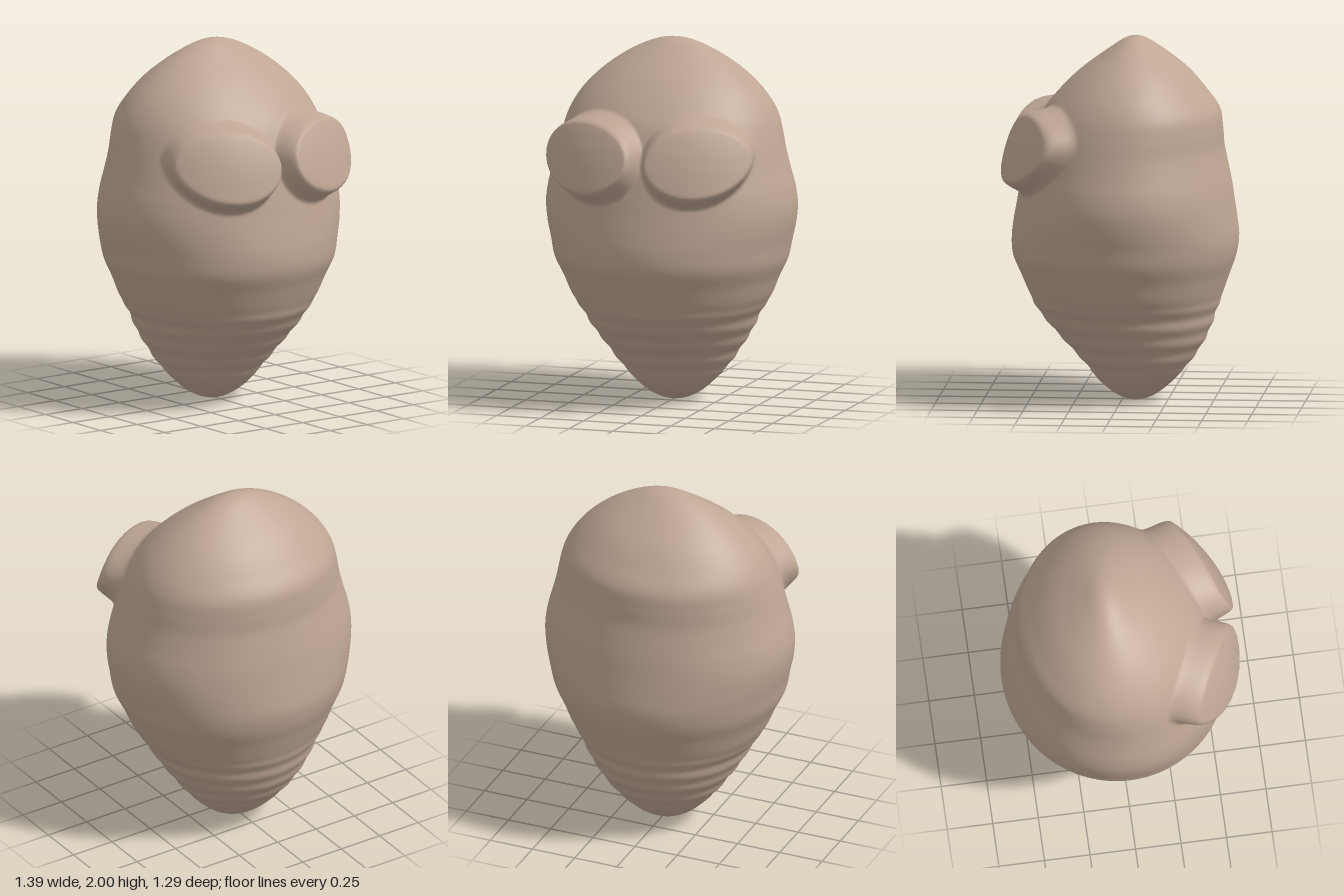
import * as THREE from 'three';

// Body sections: height, half width, front z, back z
const SECTIONS = [
  [0, 0, -0.07, -0.07], [0.05, 0.15, 0.06, -0.21], [0.1, 0.21, 0.12, -0.27],
  [0.2, 0.3, 0.2, -0.36], [0.3, 0.37, 0.29, -0.43], [0.4, 0.435, 0.38, -0.48],
  [0.5, 0.487, 0.46, -0.515], [0.6, 0.55, 0.51, -0.55], [0.7, 0.592, 0.553, -0.585],
  [0.8, 0.64, 0.595, -0.62], [0.9, 0.662, 0.602, -0.635], [1, 0.685, 0.59, -0.625],
  [1.1, 0.695, 0.572, -0.61], [1.2, 0.682, 0.555, -0.595], [1.3, 0.655, 0.535, -0.575],
  [1.4, 0.63, 0.51, -0.555], [1.5, 0.607, 0.475, -0.547], [1.6, 0.575, 0.425, -0.53],
  [1.7, 0.515, 0.345, -0.46], [1.8, 0.42, 0.245, -0.375], [1.9, 0.285, 0.115, -0.255],
  [1.96, 0.17, 0.03, -0.17], [2, 0, -0.07, -0.07],
];
const smooth = THREE.MathUtils.smoothstep;

// Smooth Hermite interpolation over the polar angle, so both ends close as round domes
const angles = SECTIONS.map((s) => Math.acos(1 - s[0]));
function sample(phi, k) {
  let i = 0;
  while (i < angles.length - 2 && phi > angles[i + 1]) i++;
  const slope = (j) => {
    const a = Math.max(j - 1, 0), b = Math.min(j + 1, angles.length - 1);
    return (SECTIONS[b][k] - SECTIONS[a][k]) / (angles[b] - angles[a]);
  };
  const h = angles[i + 1] - angles[i], t = (phi - angles[i]) / h;
  const t2 = t * t, t3 = t2 * t;
  return (2 * t3 - 3 * t2 + 1) * SECTIONS[i][k] + (t3 - 2 * t2 + t) * h * slope(i)
    + (3 * t2 - 2 * t3) * SECTIONS[i + 1][k] + (t3 - t2) * h * slope(i + 1);
}

// Raised oval eye pads on the front: 1 on the pad, 0 on the bare body
function eyeMask(x, y) {
  const dx = (Math.abs(x) - 0.32) / 0.29, dy = (y - 1.42) / 0.2;
  const d = Math.hypot(dx, dy);
  const below = Math.max(0, -dy) / (d + 1e-6);
  const outer = Math.max(0, dx) / (d + 1e-6);
  return 1 - smooth(d, 0.9, 1.12 + 0.25 * below * below + 0.1 * outer);
}

function bodyPoint(phi, theta) {
  const y = 1 - Math.cos(phi);
  // Shallow ribs around the tapering lower end
  const window = smooth(y, 0.12, 0.22) * (1 - smooth(y, 0.52, 0.6));
  const rib = 0.004 * window * Math.sin((y - 0.51) * Math.PI * 20);
  const front = sample(phi, 2), back = sample(phi, 3);
  const sin = Math.sin(theta), cos = Math.cos(theta);
  let x = (sample(phi, 1) + rib) * sin;
  let z = (front + back) / 2 + ((front - back) / 2 + rib) * cos;
  if (cos > 0 && y > 1 && y < 1.8) {
    const push = 0.125 * eyeMask(x + 0.125 * sin, y);
    x += push * sin;
    z += push * cos;
  }
  return [x, y, z];
}

function bodyGeometry(rows, cols) {
  const positions = [0, 0, -0.07], index = [];
  for (let r = 1; r < rows; r++) {
    for (let c = 0; c < cols; c++) {
      const t = (c / cols) * Math.PI * 2;
      // Columns crowd toward the front, where the eyes are
      positions.push(...bodyPoint((r / rows) * Math.PI, t - 0.5 * Math.sin(t)));
    }
  }
  const top = positions.length / 3;
  positions.push(0, 2, -0.07);
  const at = (r, c) => 1 + (r - 1) * cols + (c % cols);
  for (let c = 0; c < cols; c++) {
    index.push(0, at(1, c + 1), at(1, c));
    for (let r = 1; r < rows - 1; r++) {
      const a = at(r, c), b = at(r, c + 1), d = at(r + 1, c), e = at(r + 1, c + 1);
      index.push(a, b, e, a, e, d);
    }
    index.push(at(rows - 1, c), at(rows - 1, c + 1), top);
  }
  const geometry = new THREE.BufferGeometry();
  geometry.setAttribute('position', new THREE.Float32BufferAttribute(positions, 3));
  geometry.setIndex(index);
  geometry.computeVertexNormals();
  return geometry;
}

export function createModel() {
  const clay = new THREE.MeshStandardMaterial({ color: 0xbfa694 });
  clay.name = 'clay';
  const group = new THREE.Group();
  group.name = 'larvaHead';
  const body = new THREE.Mesh(bodyGeometry(240, 256), clay);
  body.name = 'bodyWithEyePads';
  group.add(body);
  return group;
}
